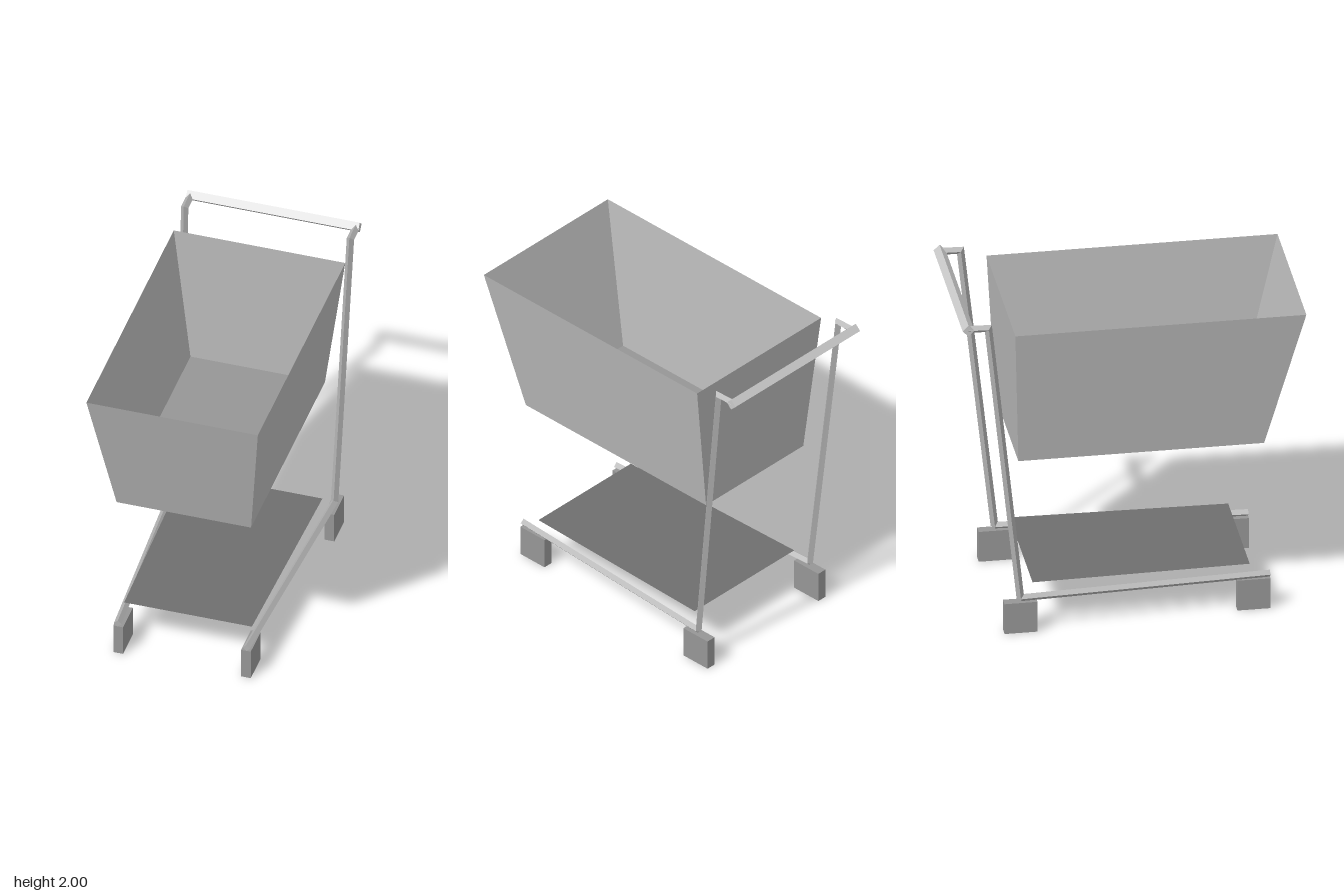
import * as THREE from 'three';

const mat = (name, color) => {
  const m = new THREE.MeshStandardMaterial({ color, side: THREE.DoubleSide, flatShading: true });
  m.name = name;
  return m;
};

// Four-cornered sheet
function quad(a, b, c, d) {
  const g = new THREE.BufferGeometry();
  g.setAttribute('position', new THREE.Float32BufferAttribute([...a, ...b, ...c, ...a, ...c, ...d], 3));
  g.computeVertexNormals();
  return g;
}

// Diamond-section bar between two points
function bar(a, b, r) {
  const from = new THREE.Vector3(...a), to = new THREE.Vector3(...b);
  const dir = to.clone().sub(from);
  const g = new THREE.CylinderGeometry(r, r, dir.length(), 4);
  g.applyQuaternion(new THREE.Quaternion().setFromUnitVectors(new THREE.Vector3(0, 1, 0), dir.normalize()));
  const mid = from.add(to).multiplyScalar(0.5);
  return g.translate(mid.x, mid.y, mid.z);
}

// Diamond-section tube bent in the side plane, mitred at each bend
function bentTube(points, r) {
  const pts = points.map((p) => new THREE.Vector3(...p));
  const n = pts.length, pos = [], idx = [];
  const normal = (i) => {
    const d = pts[i + 1].clone().sub(pts[i]);
    return new THREE.Vector3(0, -d.z, d.y).normalize();
  };
  pts.forEach((p, i) => {
    const n0 = normal(Math.max(i - 1, 0)), n1 = normal(Math.min(i, n - 2));
    const m = n0.clone().add(n1).normalize();
    m.multiplyScalar(r / m.dot(n1));
    for (const [s, t] of [[1, 0], [0, 1], [-1, 0], [0, -1]]) {
      pos.push(p.x + s * r, p.y + t * m.y, p.z + t * m.z);
    }
  });
  for (let i = 0; i < n - 1; i++) {
    for (let j = 0; j < 4; j++) {
      const a = i * 4 + j, b = i * 4 + (j + 1) % 4;
      idx.push(a, a + 4, b, b, a + 4, b + 4);
    }
  }
  const e = (n - 1) * 4;
  idx.push(0, 1, 2, 0, 2, 3, e, e + 2, e + 1, e, e + 3, e + 2);
  const g = new THREE.BufferGeometry();
  g.setAttribute('position', new THREE.Float32BufferAttribute(pos, 3));
  g.setIndex(idx);
  const flat = g.toNonIndexed();
  flat.computeVertexNormals();
  return flat;
}

// Wheel block, open underneath
function wheelBlock(w, h, d) {
  const g = new THREE.BoxGeometry(w, h, d);
  const index = Array.from(g.index.array);
  index.splice(18, 6);
  g.setIndex(index);
  g.clearGroups();
  return g;
}

export function createModel() {
  const model = new THREE.Group();
  model.name = 'shoppingCart';
  const wallGrey = mat('basketGrey', 0xb8b8b8);
  const floorGrey = mat('midGrey', 0x969696);
  const frameGrey = mat('frameGrey', 0xb2b2b2);
  const handleGrey = mat('handleGrey', 0xc8c8c8);
  const trayGrey = mat('trayGrey', 0x6e6e6e);
  const add = (name, geometry, material) => {
    const m = new THREE.Mesh(geometry, material);
    m.name = name;
    model.add(m);
    return m;
  };

  // Open basket, tapering downward
  const rim = [[-0.51, 1.91, 0.99], [0.51, 1.91, 0.99], [0.51, 1.91, -0.685], [-0.51, 1.91, -0.685]];
  const base = [[-0.4, 1.055, 0.765], [0.4, 1.055, 0.765], [0.4, 1.055, -0.65], [-0.4, 1.055, -0.65]];
  ['Front', 'Left', 'Back', 'Right'].forEach((side, i) => {
    const j = (i + 1) % 4;
    add('basket' + side, quad(base[i], base[j], rim[j], rim[i]), wallGrey);
  });
  add('basketFloor', quad(...base), floorGrey);

  // Lower tray
  add('lowerTray', quad([-0.38, 0.28, 0.685], [0.38, 0.28, 0.685], [0.41, 0.28, -0.57], [-0.41, 0.28, -0.57]), trayGrey);

  // Frame and wheels, mirrored
  for (const [side, s] of [['left', 1], ['right', -1]]) {
    add(side + 'Rail', bar([s * 0.458, 0.212, -0.645], [s * 0.383, 0.212, 0.8], 0.022), frameGrey);
    add(side + 'Post', bentTube([
      [s * 0.458, 0.212, -0.648], [s * 0.493, 1.965, -0.838], [s * 0.493, 1.968, -0.955],
    ], 0.022), frameGrey);
    add(side + 'FrontWheel', wheelBlock(0.058, 0.19, 0.19), floorGrey).position.set(s * 0.38, 0.097, 0.705);
    add(side + 'RearWheel', wheelBlock(0.058, 0.19, 0.19), floorGrey).position.set(s * 0.456, 0.097, -0.648);
  }

  // Push handle
  add('handle', bar([-0.513, 1.967, -0.955], [0.513, 1.967, -0.955], 0.034), handleGrey);
  return model;
}
